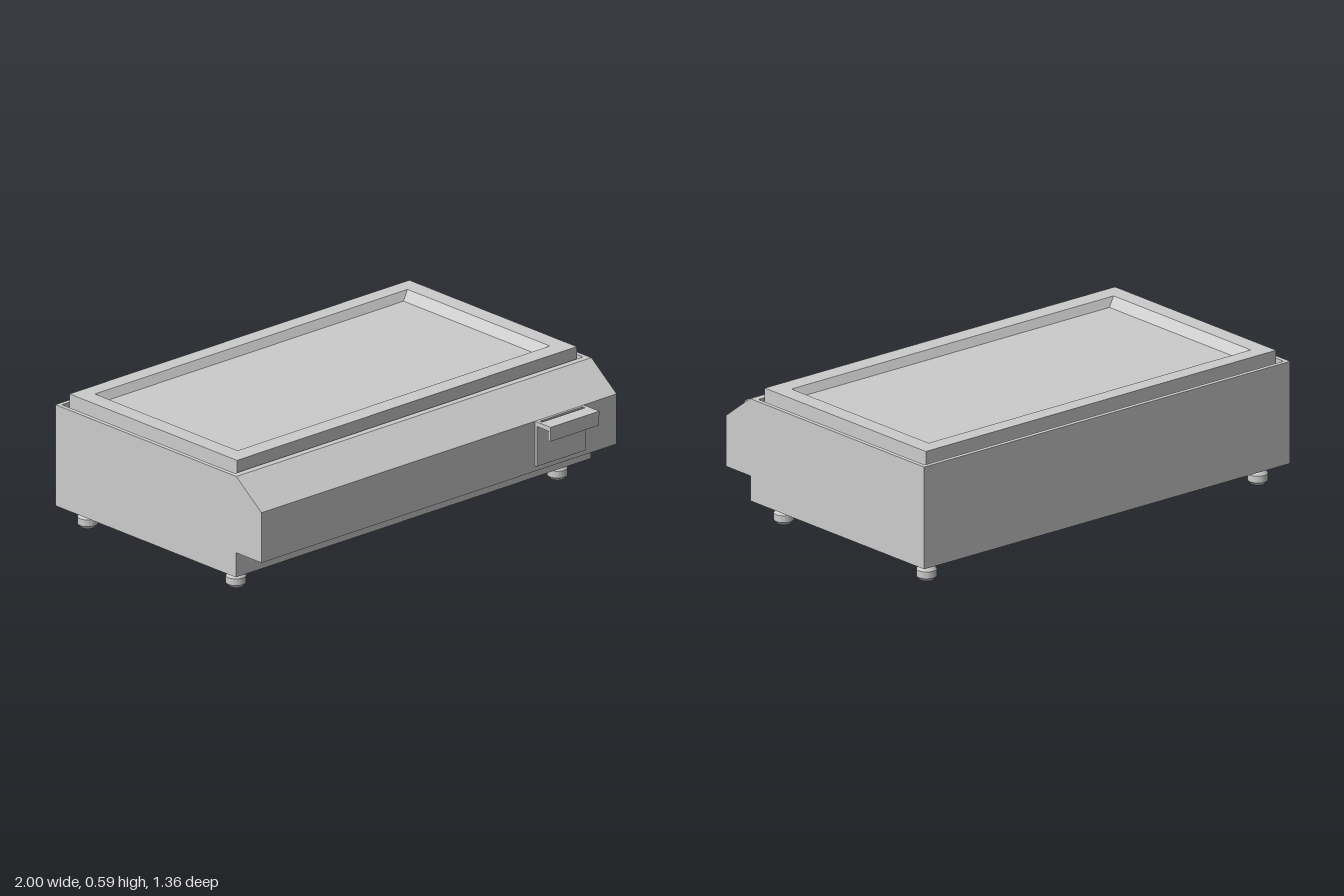
import * as THREE from 'three';

const material = new THREE.MeshStandardMaterial({ color: 0xcccccc, flatShading: true });

function add(parent, name, geometry, x = 0, y = 0, z = 0) {
  const mesh = new THREE.Mesh(geometry, material);
  mesh.name = name;
  mesh.position.set(x, y, z);
  parent.add(mesh);
  return mesh;
}

// Rectangle in plan; z is stored negated so the extrusion can be laid flat
function rect(PathType, x0, x1, z0, z1) {
  return new PathType([[x0, -z1], [x1, -z1], [x1, -z0], [x0, -z0]].map(p => new THREE.Vector2(...p)));
}

// Flat horizontal frame: outer and inner are [x0, x1, z0, z1]
function frame(outer, inner, y0, y1) {
  const shape = rect(THREE.Shape, ...outer);
  shape.holes.push(rect(THREE.Path, ...inner));
  const g = new THREE.ExtrudeGeometry(shape, { depth: y1 - y0, bevelEnabled: false });
  return g.rotateX(-Math.PI / 2).translate(0, y0, 0);
}

// Move vertices by a rule on their position
function reshape(g, rule) {
  const p = g.attributes.position, v = new THREE.Vector3();
  for (let i = 0; i < p.count; i++) {
    rule(v.fromBufferAttribute(p, i));
    p.setXYZ(i, v.x, v.y, v.z);
  }
  g.computeVertexNormals();
  return g;
}

export function createModel() {
  const model = new THREE.Group();
  model.name = 'griddle';

  // Housing: side profile (z, y) swept across the width
  const recessY = 0.52, slopeZ = 0.457;
  const profile = [[-0.68, 0.09], [0.427, 0.09], [0.427, 0.2], [0.585, 0.2],
    [0.585, 0.423], [slopeZ, recessY], [-0.68, recessY]];
  const side = new THREE.Shape(profile.map(([z, y]) => new THREE.Vector2(-z, y)));
  const housing = new THREE.ExtrudeGeometry(side, { depth: 2, bevelEnabled: false });
  add(model, 'housing', housing.rotateY(Math.PI / 2).translate(-1, 0, 0));

  // Raised rim around the recess; its front face continues the slope
  const rim = frame([-1, 1, -0.68, 0.43], [-0.98, 0.98, -0.66, 0.4], recessY, 0.54);
  add(model, 'housingRim', reshape(rim, v => {
    if (v.z > 0.42 && v.y < 0.53) v.z = slopeZ;
  }));

  // Cooking plate: frame whose inner wall slopes down to the floor
  const floorY = 0.553, top = 0.588;
  const well = [-0.88, 0.88, -0.568, 0.306];
  const plate = add(model, 'cookingPlateFrame', reshape(
    frame([-0.957, 0.957, -0.64, 0.387], well, floorY, top), v => {
      if (v.y < floorY + 0.01 && Math.abs(v.x) < 0.9) {
        v.x *= 0.838 / 0.88;
        v.z += v.z < 0 ? 0.022 : -0.022;
      }
    }));
  plate.castShadow = false;
  add(model, 'cookingPlateBase', new THREE.BoxGeometry(1.914, floorY - recessY, 1.027),
    0, (floorY + recessY) / 2, -0.1265);

  // Drip tray front with hooked handle
  const tray = new THREE.Group();
  tray.name = 'dripTray';
  model.add(tray);
  add(tray, 'trayFront', new THREE.BoxGeometry(0.275, 0.198, 0.012), 0.677, 0.324, 0.591);
  add(tray, 'trayHandleTop', frame([0.54, 0.815, 0.585, 0.68], [0.556, 0.799, 0.597, 0.612], 0.403, 0.423));
  add(tray, 'trayHandleLip', new THREE.BoxGeometry(0.275, 0.043, 0.014), 0.677, 0.3815, 0.673);

  // Four turned feet
  const foot = new THREE.LatheGeometry([[0, 0], [0.03, 0], [0.043, 0.015], [0.043, 0.045],
    [0.03, 0.062], [0.03, 0.09]].map(p => new THREE.Vector2(...p)), 20);
  for (const x of [-0.905, 0.905]) {
    for (const z of [-0.585, 0.325]) add(model, 'foot', foot, x, 0, z);
  }

  return model;
}
